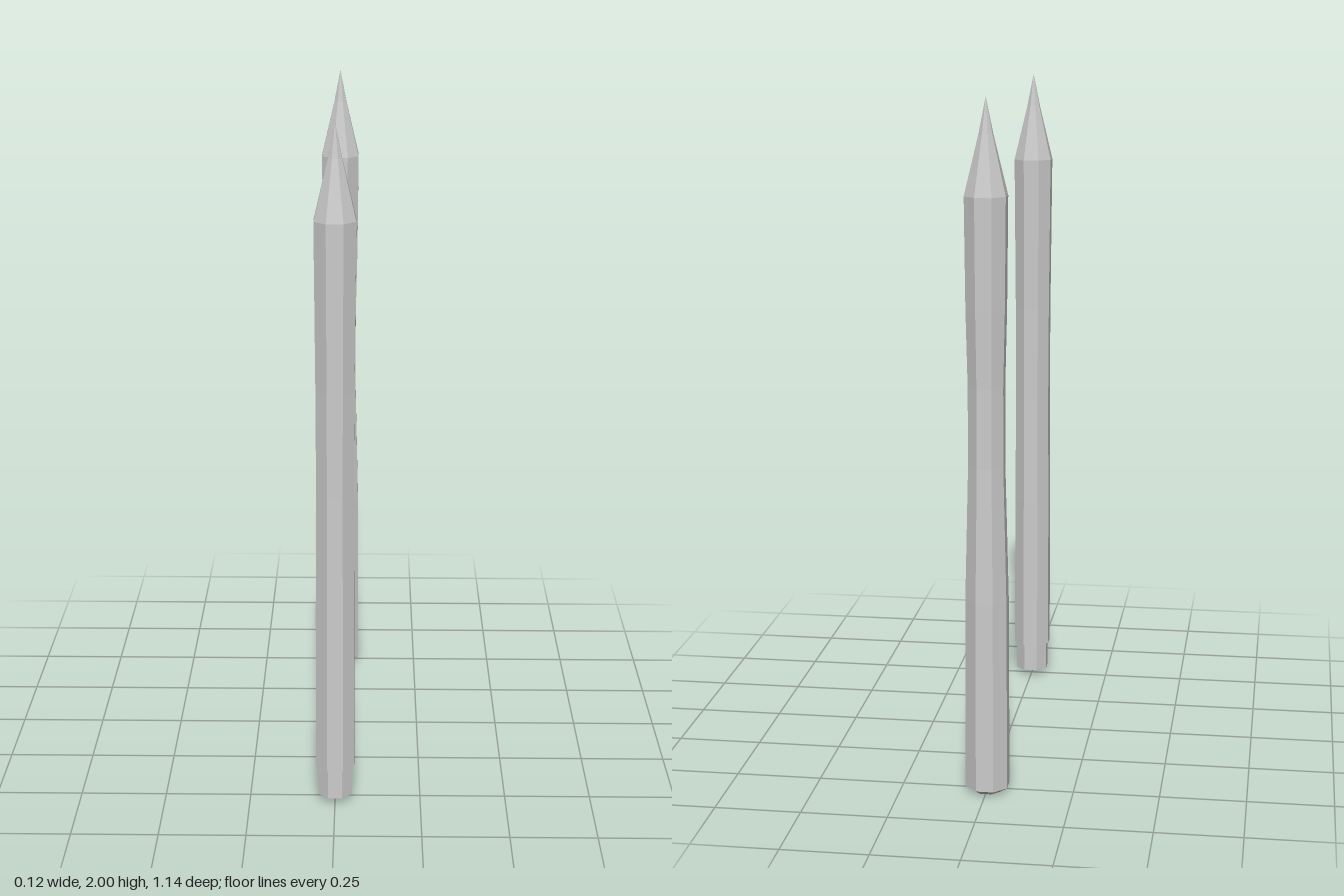
import * as THREE from 'three';

const SIDES = 8;
const material = new THREE.MeshStandardMaterial({ color: 0xcccccc, flatShading: true });

// Octagonal post turned from [half width across flats, height] pairs, bottom to top
function makePost(name, profile, z) {
  const toCorner = 1 / Math.cos(Math.PI / SIDES);
  const points = profile.map(([r, y]) => new THREE.Vector2(r * toCorner, y));
  const geometry = new THREE.LatheGeometry(points, SIDES, Math.PI / SIDES);
  const post = new THREE.Mesh(geometry, material);
  post.name = name;
  post.position.z = z;
  return post;
}

// Pointed tip shared by both posts
const tip = [[0.058, 1.73], [0.019, 1.9], [0, 2]];

export function createModel() {
  const model = new THREE.Group();
  model.name = 'pointedPosts';

  // Front post: narrow peg at the foot, nearly straight shaft
  model.add(makePost('frontPost', [
    [0, 0.02], [0.049, 0.02], [0.049, 0.11], [0.056, 0.11],
    [0.055, 0.6], [0.053, 0.95], [0.054, 1.25], ...tip,
  ], 0.512));

  // Back post: bevelled foot, waisted shaft
  model.add(makePost('backPost', [
    [0, 0], [0.04, 0], [0.061, 0.015], [0.059, 0.58],
    [0.05, 0.97], [0.05, 1.2], [0.055, 1.42], ...tip,
  ], -0.509));

  return model;
}
